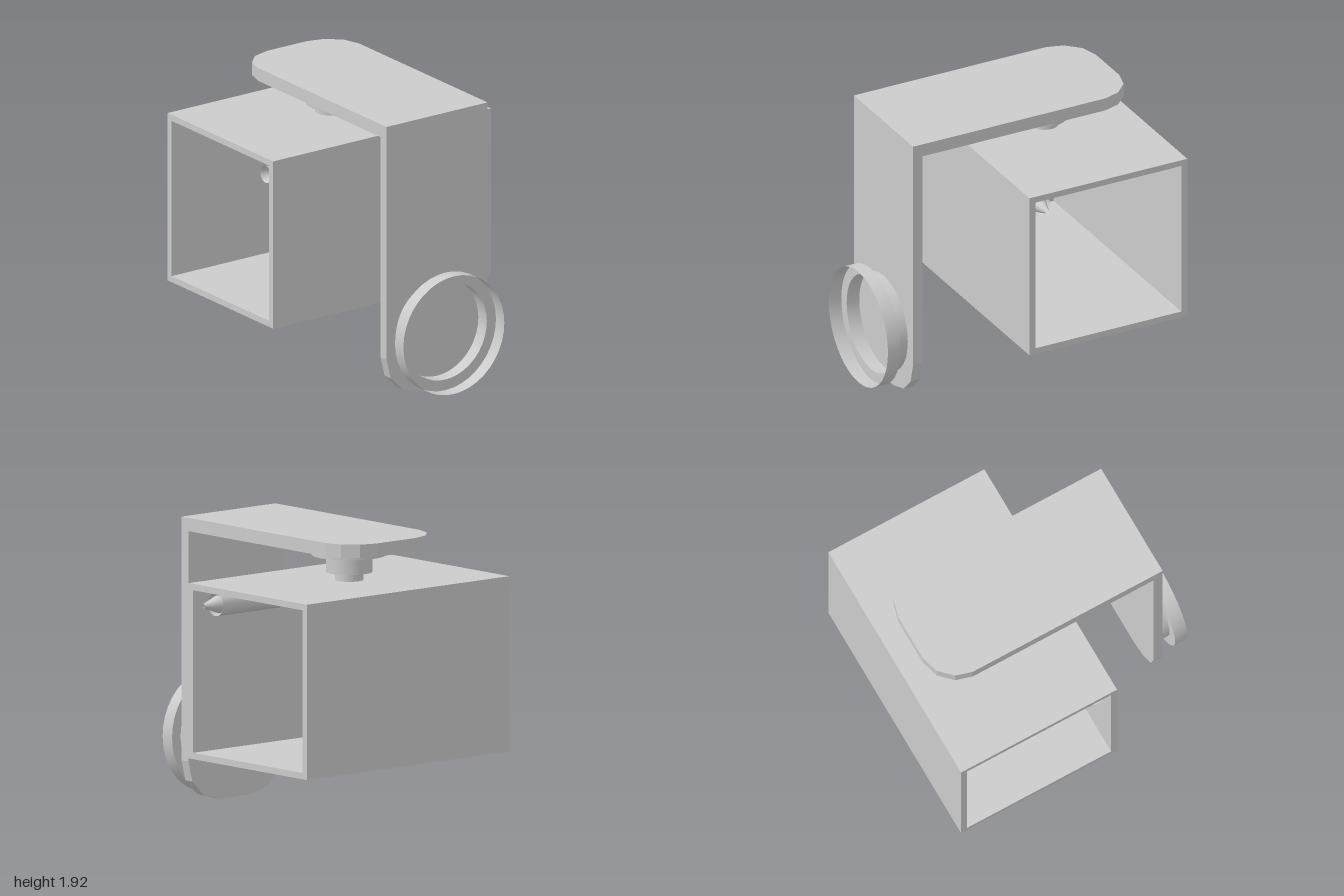
import * as THREE from 'three';
import { toCreasedNormals } from 'three/addons/utils/BufferGeometryUtils.js';

const grey = new THREE.MeshStandardMaterial({ color: 0xcccccc });
const shell = new THREE.MeshStandardMaterial({ color: 0xcccccc, side: THREE.DoubleSide });

function add(group, name, geometry, material = grey) {
  const mesh = new THREE.Mesh(geometry, material);
  mesh.name = name;
  group.add(mesh);
  return mesh;
}

// Revolve [radius, height] points around y, keeping the steps sharp
function turned(points, segments = 32) {
  const profile = points.map(([r, y]) => new THREE.Vector2(r, y));
  return toCreasedNormals(new THREE.LatheGeometry(profile, segments), 0.6);
}

// Plate outline, straight at the base and rounded in facets at the far end
function tongue(base, end, corner) {
  const right = [[0.415, base], ...corner.map(([x, d]) => [x, end + d])];
  const left = right.map(([x, y]) => [-x, y]).reverse();
  return new THREE.Shape([...right, ...left].map(([x, y]) => new THREE.Vector2(x, y)));
}

function extrude(shape, depth) {
  return new THREE.ExtrudeGeometry(shape, { depth, bevelEnabled: false });
}

export function createModel() {
  const model = new THREE.Group();
  model.name = 'holder';

  // Square sleeve, open at both x ends
  const frame = new THREE.Shape([[-0.19, 0.42], [1, 0.42], [1, 1.6], [-0.19, 1.6]]
    .map(([x, y]) => new THREE.Vector2(x, y)));
  frame.holes.push(new THREE.Path([[-0.145, 0.463], [-0.145, 1.557], [0.955, 1.557], [0.955, 0.463]]
    .map(([x, y]) => new THREE.Vector2(x, y))));
  const sleeve = extrude(frame, 1.79);
  sleeve.translate(0, 0, -0.895).rotateY(Math.PI / 2);
  add(model, 'sleeve', sleeve);

  // L-shaped bracket: upright plate and top arm
  const bracket = new THREE.Group();
  bracket.name = 'bracket';
  model.add(bracket);
  const upright = tongue(1.83, 0, [[0.415, 0.28], [0.38, 0.14], [0.28, 0.04], [0.14, 0]]);
  add(bracket, 'uprightPlate', extrude(upright, 0.07)).position.z = 0.74;
  const arm = tongue(-0.81, 0.88, [[0.415, -0.24], [0.38, -0.125], [0.29, -0.035], [0.165, 0]]);
  const armGeometry = extrude(arm, 0.09);
  armGeometry.rotateX(-Math.PI / 2).translate(0, 1.83, 0);
  add(bracket, 'topArm', armGeometry);

  // Stepped hollow cup on the front of the upright
  const cup = turned([[0.34, 0], [0.34, 0.095], [0.415, 0.095], [0.415, 0.19]], 40);
  cup.rotateX(Math.PI / 2).translate(0, 0.42, 0.81);
  add(model, 'frontCup', cup, shell);

  // Stepped pivot between the sleeve and the arm
  const pivot = turned([[0, 1.6], [0.095, 1.6], [0.095, 1.655], [0.155, 1.655],
    [0.155, 1.77], [0.25, 1.77], [0.25, 1.82], [0, 1.82]]);
  add(model, 'pivot', pivot, shell).position.z = -0.405;

  // Hollow rod through the sleeve, with a pointed tip at each end
  const rod = new THREE.Group();
  rod.name = 'rod';
  rod.position.set(0, 1.46, 0.05);
  rod.rotation.z = -Math.PI / 2;
  model.add(rod);
  add(rod, 'tube', new THREE.CylinderGeometry(0.078, 0.078, 1.56, 24, 1, true), shell);
  for (const [name, y] of [['rightTip', -0.79], ['leftTip', 0.82]]) {
    add(rod, name, new THREE.CylinderGeometry(0.015, 0.06, 0.13, 24, 1, true), shell).position.y = y;
  }

  return model;
}
